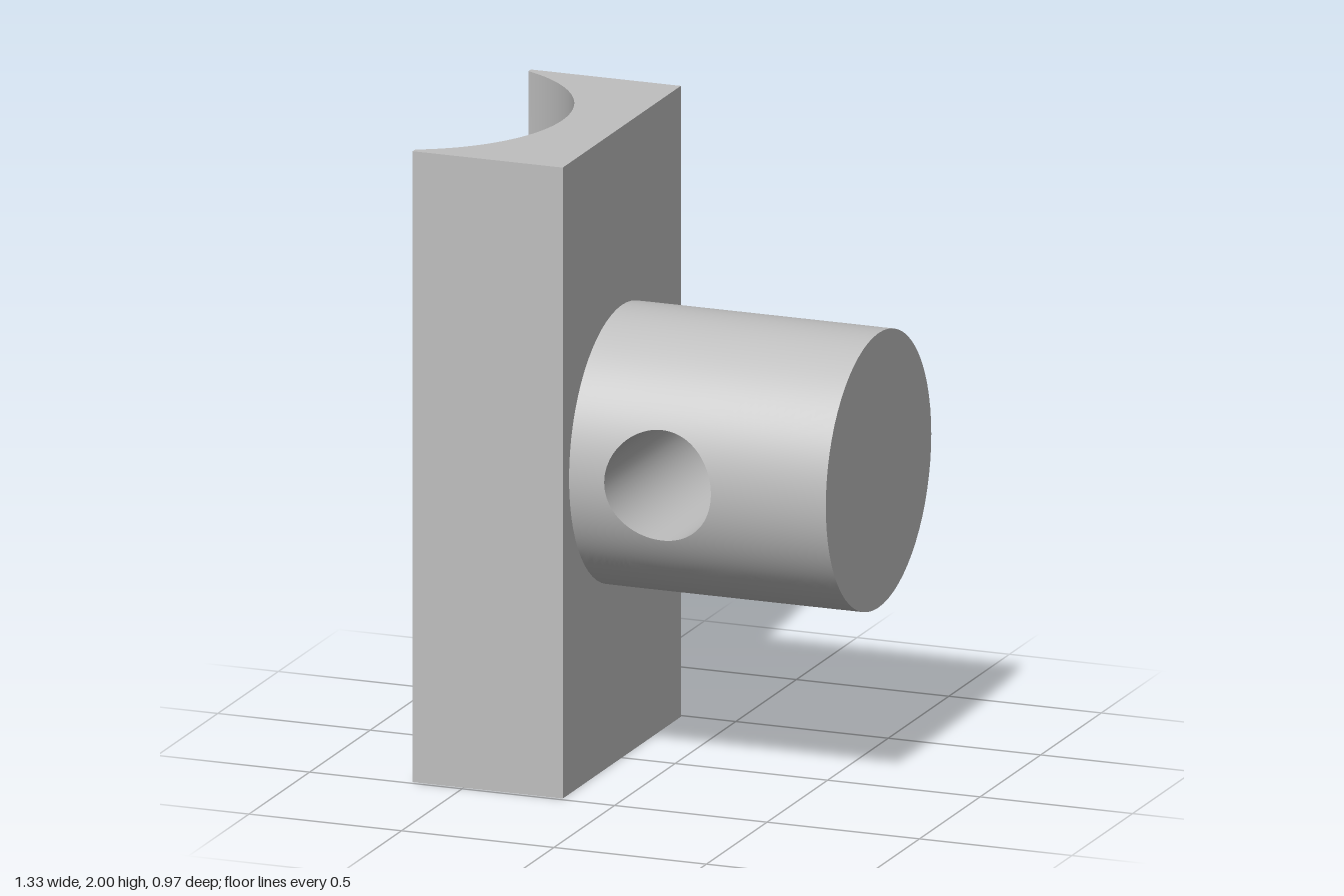
import * as THREE from 'three';
import { toCreasedNormals } from 'three/addons/utils/BufferGeometryUtils.js';
import { ParametricGeometry } from 'three/addons/geometries/ParametricGeometry.js';

const BACK = -0.667, FACE = -0.175, TIP = 0.667; // x stations
const HALF_DEPTH = 0.487, HEIGHT = 2, AXIS_Y = 1;
const R = 0.435;                      // boss radius
const HOLE_X = 0.115, HOLE_R = 0.175; // cross hole along z
const N = 32;                         // segments per side of the boss patch

// Point on the border of the unrolled half skin (x, theta), counter-clockwise
function border(u) {
  const s = u * 4, side = Math.floor(s) % 4, t = s - Math.floor(s);
  const q = Math.PI / 2;
  if (side === 0) return [TIP, -q + t * 2 * q];
  if (side === 1) return [TIP + t * (FACE - TIP), q];
  if (side === 2) return [FACE, q - t * 2 * q];
  return [FACE + t * (TIP - FACE), -q];
}

// Matching point on the hole rim
function rim(u) {
  const [x, th] = border(u);
  const a = Math.atan2(th * R, x - HOLE_X);
  return [HOLE_X + HOLE_R * Math.cos(a), HOLE_R * Math.sin(a)];
}

// Half of the round skin, from its border in to the hole rim
function skin(u, v, p) {
  const [bx, bt] = border(u), [hx, hy] = rim(u);
  const th = bt + (Math.asin(hy / R) - bt) * v;
  p.set(bx + (hx - bx) * v, R * Math.sin(th), R * Math.cos(th));
}

// Half of the hole wall, from the rim to the middle
function bore(u, v, p) {
  const [x, y] = rim(u);
  p.set(x, y, Math.sqrt(R * R - y * y) * (1 - v));
}

export function createModel() {
  const model = new THREE.Group();
  const grey = new THREE.MeshStandardMaterial({ color: 0xbfbfbf });
  grey.name = 'grey';
  const add = (name, geometry, parent) => {
    const mesh = new THREE.Mesh(geometry, grey);
    mesh.name = name;
    parent.add(mesh);
    return mesh;
  };

  // Upright block with a round channel along its back
  const chord = 0.467, sagitta = 0.297;
  const r = (chord * chord + sagitta * sagitta) / (2 * sagitta);
  const angle = Math.asin(chord / r);
  const outline = new THREE.Shape();
  outline.moveTo(BACK, -HALF_DEPTH);
  outline.lineTo(FACE, -HALF_DEPTH);
  outline.lineTo(FACE, HALF_DEPTH);
  outline.lineTo(BACK, HALF_DEPTH);
  outline.lineTo(BACK, chord);
  outline.absarc(BACK + sagitta - r, 0, r, angle, -angle, true);
  const block = new THREE.ExtrudeGeometry(outline, { depth: HEIGHT, bevelEnabled: false, curveSegments: 48 });
  block.rotateX(-Math.PI / 2);
  add('channelBlock', toCreasedNormals(block, 0.4), model);

  // Round boss with a cross hole, made of two equal halves
  const boss = new THREE.Group();
  boss.name = 'boss';
  boss.position.y = AXIS_Y;
  model.add(boss);
  const skinGeometry = new ParametricGeometry(skin, 4 * N, 16);
  const boreGeometry = new ParametricGeometry(bore, 4 * N, 2);
  for (const side of ['front', 'back']) {
    const half = new THREE.Group();
    half.name = side + 'Half';
    half.rotation.x = side === 'front' ? 0 : Math.PI;
    add(side + 'Skin', skinGeometry, half);
    add(side + 'HoleWall', boreGeometry, half);
    boss.add(half);
  }
  const cap = add('endCap', new THREE.CircleGeometry(R, 2 * N), boss);
  cap.rotation.y = Math.PI / 2;
  cap.position.x = TIP;

  return model;
}
